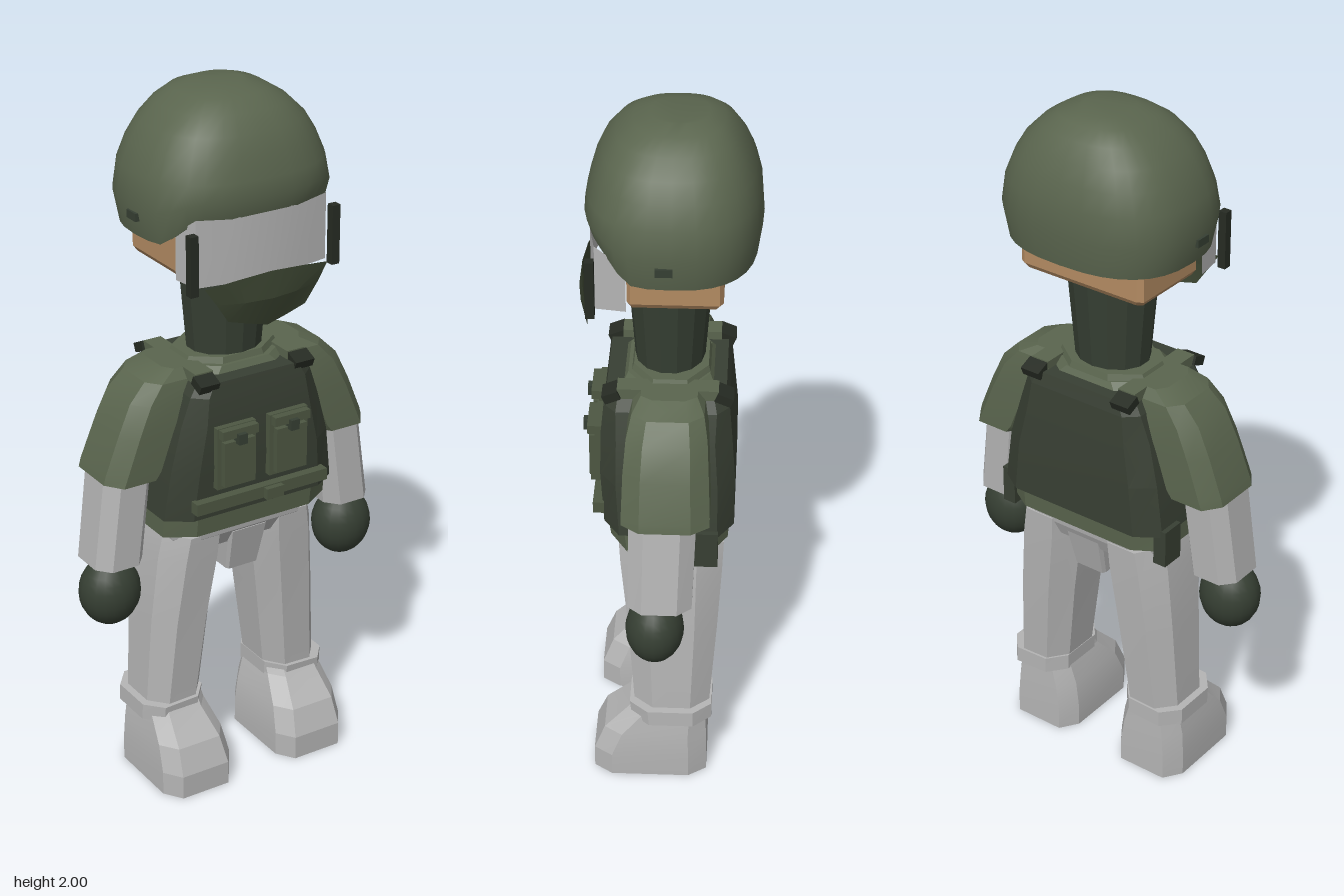
import * as THREE from 'three';
import { toCreasedNormals } from 'three/addons/utils/BufferGeometryUtils.js';

const mat = (name, color, side = THREE.FrontSide) => {
  const m = new THREE.MeshStandardMaterial({ color, side });
  m.name = name;
  return m;
};

// eight-sided ring with chamfered corners, from x and z limits
function ring(y, x0, x1, z0, z1, c = 0.3) {
  const cx = (x1 - x0) / 2 * c, cz = (z1 - z0) / 2 * c;
  return [[x1, y, z1 - cz], [x1, y, z0 + cz], [x1 - cx, y, z0], [x0 + cx, y, z0],
    [x0, y, z0 + cz], [x0, y, z1 - cz], [x0 + cx, y, z1], [x1 - cx, y, z1]];
}

// closed skin over rings stacked upwards; crease is the smoothing angle
function loft(rings, crease = 0.15) {
  const n = rings[0].length, pos = rings.flat(2), idx = [];
  for (let i = 0; i < rings.length - 1; i++) for (let j = 0; j < n; j++) {
    const k = (j + 1) % n, a = i * n + j, b = i * n + k;
    idx.push(a, b, b + n, a, b + n, a + n);
  }
  const top = (rings.length - 1) * n;
  for (let j = 1; j < n - 1; j++) idx.push(0, j + 1, j, top, top + j, top + j + 1);
  const g = new THREE.BufferGeometry();
  g.setAttribute('position', new THREE.Float32BufferAttribute(pos, 3));
  g.setIndex(idx);
  return toCreasedNormals(g, crease);
}

// open sheet through rows of points, rows given from the bottom up
function sheet(rows) {
  const n = rows[0].length, idx = [];
  for (let i = 0; i < rows.length - 1; i++) for (let j = 0; j < n - 1; j++) {
    const a = i * n + j;
    idx.push(a, a + 1, a + n + 1, a, a + n + 1, a + n);
  }
  const g = new THREE.BufferGeometry();
  g.setAttribute('position', new THREE.Float32BufferAttribute(rows.flat(2), 3));
  g.setIndex(idx);
  return toCreasedNormals(g, 0.3);
}

// mirrors a list of [x, ...] points given from the centre outwards
const both = half => [...half.slice(1).reverse().map(([x, ...r]) => [-x, ...r]), ...half];

export function createModel() {
  const model = new THREE.Group();
  const olive = mat('olive cloth', 0x5a654e);
  const vestGreen = mat('vest green', 0x383f33);
  const pouchGreen = mat('pouch green', 0x4d5742);
  const dark = mat('dark green', 0x363f33);
  const maskGreen = mat('mask green', 0x39422f, THREE.DoubleSide);
  const black = mat('strap black', 0x262b23);
  const grey = mat('light grey', 0xb4b4b4);
  const visorGrey = mat('visor grey', 0xb4b4b4, THREE.DoubleSide);
  const skin = mat('skin', 0xb38b62);

  const add = (name, geo, m, parent = model) => {
    const mesh = new THREE.Mesh(geo, m);
    mesh.name = name;
    parent.add(mesh);
    return mesh;
  };
  const box = (name, m, w, h, d, x, y, z, parent = model) => {
    const b = add(name, new THREE.BoxGeometry(w, h, d), m, parent);
    b.position.set(x, y, z);
    return b;
  };

  // helmet: rounded-square rings, rim raised over the brow
  const helmetRing = ([y, hx, zf, zb]) => Array.from({ length: 32 }, (_, i) => {
    const t = i / 32 * Math.PI * 2, c = Math.cos(t), s = -Math.sin(t);
    const sq = v => Math.sign(v) * Math.abs(v) ** 0.78;
    const z = (zf + zb) / 2 + (zf - zb) / 2 * sq(s);
    const lift = THREE.MathUtils.smoothstep(s, 0.35, 0.85) * 0.07;
    return [hx * sq(c), y + lift * Math.max(0, (1.8 - y) / 0.17), z];
  });
  add('helmet', loft([
    [1.66, 0.22, 0.17, -0.19], [1.63, 0.25, 0.195, -0.22], [1.63, 0.265, 0.205, -0.23],
    [1.72, 0.283, 0.22, -0.243], [1.8, 0.27, 0.212, -0.237], [1.86, 0.245, 0.195, -0.222],
    [1.91, 0.215, 0.173, -0.2], [1.955, 0.17, 0.138, -0.172], [1.985, 0.122, 0.095, -0.14],
    [2, 0.07, 0.05, -0.1]].map(helmetRing), 0.7), olive);

  // head and neck
  add('head', loft([ring(1.53, -0.19, 0.19, -0.135, 0.1, 0.08),
    ring(1.545, -0.2, 0.2, -0.145, 0.105, 0.08), ring(1.72, -0.2, 0.2, -0.145, 0.105, 0.08)]), skin);
  const neck = add('neck', new THREE.CylinderGeometry(0.13, 0.105, 0.29, 14).toNonIndexed(), dark);
  neck.geometry.computeVertexNormals();
  neck.scale.z = 0.88;
  neck.position.set(0, 1.39, 0);

  // visor and face mask
  add('visor', sheet([
    both([[0, 1.53, 0.207], [0.1, 1.53, 0.202], [0.2, 1.53, 0.185], [0.212, 1.53, 0.105]]),
    both([[0, 1.715, 0.207], [0.1, 1.705, 0.202], [0.2, 1.715, 0.185], [0.212, 1.66, 0.105]])]), visorGrey);
  add('faceMask', sheet([
    both([[0, 1.397, 0.217], [0.06, 1.413, 0.216], [0.12, 1.43, 0.213]]),
    both([[0, 1.48, 0.242], [0.08, 1.48, 0.232], [0.157, 1.485, 0.216]]),
    both([[0, 1.553, 0.232], [0.1, 1.545, 0.225], [0.19, 1.533, 0.212]])]), maskGreen);

  // shirt body and collar
  add('shirt', loft([ring(0.79, -0.262, 0.262, -0.165, 0.155), ring(0.86, -0.262, 0.262, -0.17, 0.165),
    ring(1.05, -0.225, 0.225, -0.15, 0.15), ring(1.22, -0.18, 0.18, -0.13, 0.13, 0.4),
    ring(1.255, -0.15, 0.15, -0.11, 0.11, 0.5)]), olive);
  add('collar', loft([ring(1.24, -0.15, 0.15, -0.115, 0.105, 0.55),
    ring(1.272, -0.135, 0.135, -0.105, 0.095, 0.55)]), olive);

  // vest with chest pouches and belt
  add('vest', loft([ring(0.85, -0.27, 0.27, -0.182, 0.172, 0.25), ring(1.0, -0.25, 0.25, -0.182, 0.182, 0.25),
    ring(1.12, -0.218, 0.218, -0.172, 0.18, 0.25), ring(1.2, -0.19, 0.19, -0.165, 0.172, 0.2),
    ring(1.238, -0.165, 0.165, -0.155, 0.165, 0.2)]), vestGreen);
  for (const x of [-0.083, 0.083]) {
    const pouch = new THREE.Group();
    pouch.name = 'chestPouch';
    pouch.position.set(x, 1.03, 0);
    model.add(pouch);
    box('pouchBack', pouchGreen, 0.122, 0.18, 0.02, 0, 0, 0.188, pouch);
    box('pouchFront', pouchGreen, 0.096, 0.13, 0.03, 0, -0.014, 0.2, pouch);
    box('pouchFlap', pouchGreen, 0.112, 0.026, 0.03, 0, 0.075, 0.204, pouch);
    box('pouchClip', dark, 0.026, 0.03, 0.03, 0, 0.06, 0.217, pouch);
  }
  box('vestBelt', pouchGreen, 0.42, 0.034, 0.03, 0, 0.897, 0.187);
  box('beltBuckle', pouchGreen, 0.055, 0.032, 0.025, 0.03, 0.895, 0.206);

  // hips and crotch
  add('hips', loft([ring(0.72, -0.17, 0.17, -0.13, 0.11), ring(0.765, -0.225, 0.225, -0.15, 0.135),
    ring(0.8, -0.235, 0.235, -0.155, 0.14)]), grey);
  add('crotch', loft([ring(0.625, -0.05, 0.05, -0.11, 0.1, 0.1), ring(0.76, -0.06, 0.06, -0.145, 0.135, 0.1)]), grey);

  // limbs and paired details, for each side
  for (const s of [1, -1]) {
    const side = s > 0 ? 'left' : 'right';
    const pair = (y, a, b, z0, z1, c) => ring(y, s > 0 ? a : -b, s > 0 ? b : -a, z0, z1, c);

    add(side + 'Sleeve', loft([pair(0.972, 0.25, 0.418, -0.12, 0.115, 0.42), pair(0.995, 0.23, 0.412, -0.12, 0.115, 0.42),
      pair(1.1, 0.19, 0.37, -0.115, 0.112, 0.42), pair(1.185, 0.15, 0.33, -0.11, 0.105, 0.42),
      pair(1.235, 0.13, 0.28, -0.1, 0.092, 0.42), pair(1.262, 0.12, 0.22, -0.08, 0.07, 0.42)], 0.35), olive);
    add(side + 'Forearm', loft([pair(0.72, 0.3, 0.447, -0.075, 0.098, 0.45),
      pair(1.0, 0.265, 0.41, -0.085, 0.095, 0.45)]), grey);
    const hand = add(side + 'Glove', new THREE.SphereGeometry(1, 20, 14), dark);
    hand.scale.set(0.088, 0.1, 0.08);
    hand.position.set(s * 0.385, 0.628, 0.026);

    add(side + 'TrouserLeg', loft([pair(0.2, 0.115, 0.283, -0.118, 0.09, 0.5), pair(0.5, 0.08, 0.267, -0.14, 0.11, 0.5),
      pair(0.7, 0.052, 0.25, -0.152, 0.13, 0.5), pair(0.775, 0.05, 0.235, -0.155, 0.135, 0.5)]), grey);
    const cuff = add(side + 'TrouserCuff', loft([pair(0.197, 0.1, 0.295, -0.128, 0.1, 0.45),
      pair(0.245, 0.098, 0.292, -0.128, 0.105, 0.45)]), grey);
    cuff.rotation.z = -s * 0.04;
    cuff.position.y = s * Math.sin(0.04) * 0.2 * s;
    add(side + 'Boot', loft([pair(0, 0.08, 0.3, -0.115, 0.208, 0.32), pair(0.07, 0.08, 0.3, -0.115, 0.208, 0.32),
      pair(0.145, 0.09, 0.295, -0.113, 0.178, 0.35), pair(0.215, 0.11, 0.283, -0.11, 0.11, 0.4),
      pair(0.235, 0.112, 0.28, -0.11, 0.095, 0.4)]), grey);

    box(side + 'VisorStrap', black, 0.024, 0.165, 0.024, s * 0.218, 1.6, 0.197);
    box(side + 'HelmetClip', dark, 0.02, 0.022, 0.045, s * 0.275, 1.69, 0.005);
    box(side + 'HipPouch', vestGreen, 0.04, 0.11, 0.07, s * 0.262, 0.815, -0.105);
    // shoulder straps of the vest
    box(side + 'ShoulderStrap', olive, 0.055, 0.03, 0.27, s * 0.145, 1.247, 0);
    for (const z of [0.15, -0.15]) {
      const clip = box(side + 'StrapClip', black, 0.06, 0.026, 0.045, s * 0.15, 1.238, z);
      clip.rotation.x = Math.sign(z) * 0.4;
    }
  }
  return model;
}
